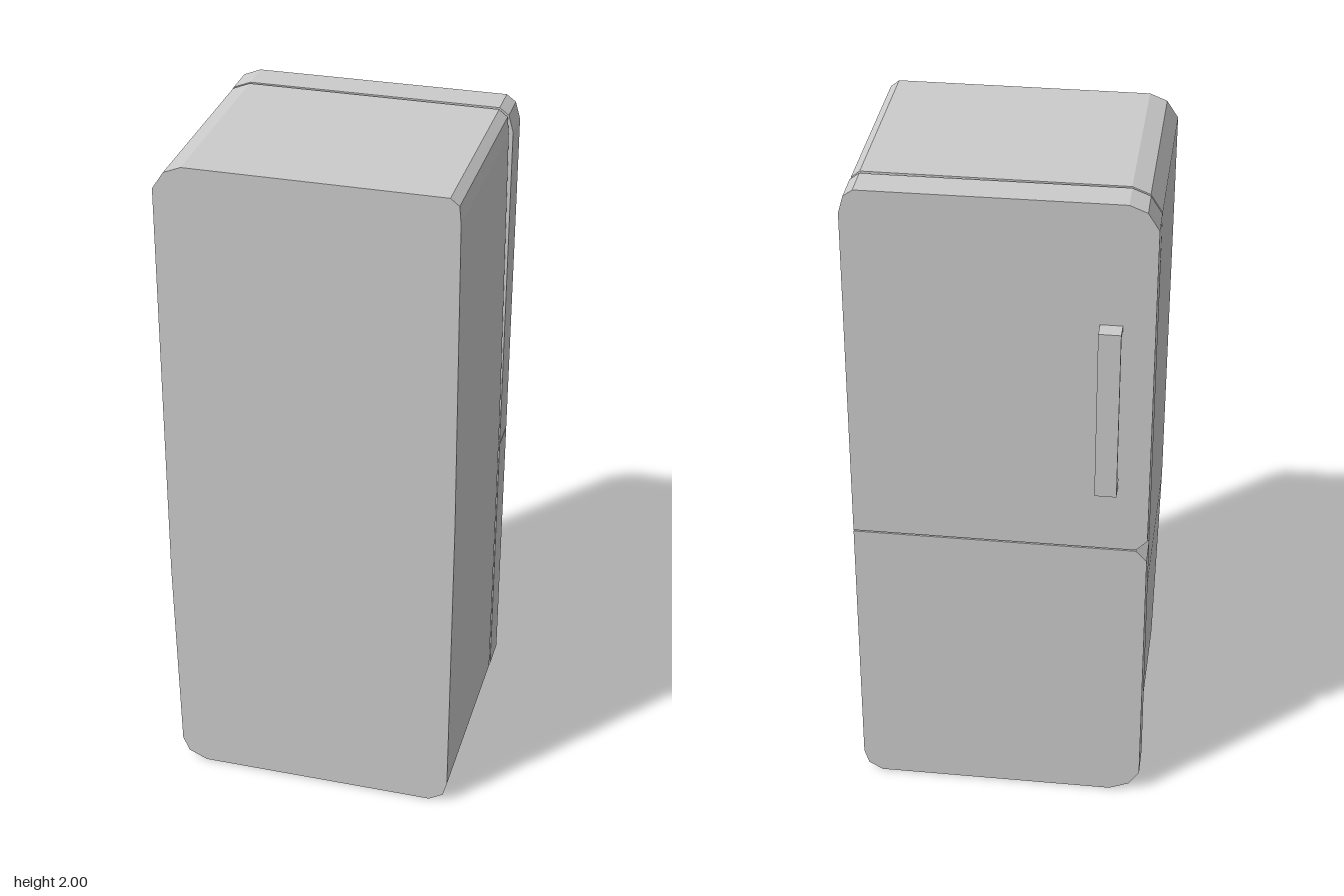
import * as THREE from 'three';

const material = new THREE.MeshStandardMaterial({ color: 0xcccccc, flatShading: true });

// Extrude an outline in x/y between two depths
function slab(name, points, zMin, zMax) {
  const shape = new THREE.Shape(points.map(([x, y]) => new THREE.Vector2(x, y)));
  const geometry = new THREE.ExtrudeGeometry(shape, { depth: zMax - zMin, bevelEnabled: false });
  geometry.translate(0, 0, zMin);
  const mesh = new THREE.Mesh(geometry, material);
  mesh.name = name;
  return mesh;
}

export function createModel() {
  const fridge = new THREE.Group();
  fridge.name = 'fridge';

  // Cabinet, with slightly uneven sides and cut corners
  fridge.add(slab('cabinet', [
    [-0.34, 0], [0.37, 0], [0.412, 0.025], [0.424, 0.07],
    [0.424, 1.0], [0.415, 1.93], [0.41, 1.98], [0.385, 2],
    [-0.345, 2], [-0.395, 1.98], [-0.428, 1.93],
    [-0.427, 0.7], [-0.415, 0.07], [-0.395, 0.025],
  ], -0.224, 0.386));

  // Doors, a narrow gap away from the cabinet; seam notched on the handle side
  const doors = new THREE.Group();
  doors.name = 'doors';
  const seam = 0.905;
  const zBack = -0.337, zInner = -0.235;
  doors.add(slab('upperDoor', [
    [-0.395, seam + 0.002], [0.426, seam + 0.002], [0.426, 1.93], [0.412, 1.98], [0.385, 2],
    [-0.345, 2], [-0.395, 1.98], [-0.427, 1.93], [-0.427, seam + 0.035],
  ], zBack, zInner));
  doors.add(slab('lowerDoor', [
    [-0.34, 0], [0.37, 0], [0.412, 0.025], [0.426, 0.07], [0.426, seam - 0.002],
    [-0.395, seam - 0.002], [-0.427, seam - 0.035], [-0.43, 0.07], [-0.4, 0.025],
  ], zBack, zInner));
  doors.rotation.y = 0.005;
  fridge.add(doors);

  // Handle: flat bar on two end brackets
  const handle = new THREE.Group();
  handle.name = 'handle';
  const parts = [
    ['handleBar', 0.52, 0.012, 1.38, -0.382],
    ['upperBracket', 0.015, 0.054, 1.6325, -0.361],
    ['lowerBracket', 0.028, 0.054, 1.134, -0.361],
  ];
  for (const [name, height, depth, y, z] of parts) {
    const mesh = new THREE.Mesh(new THREE.BoxGeometry(0.062, height, depth), material);
    mesh.name = name;
    mesh.position.set(-0.309, y, z);
    handle.add(mesh);
  }
  fridge.add(handle);

  return fridge;
}
